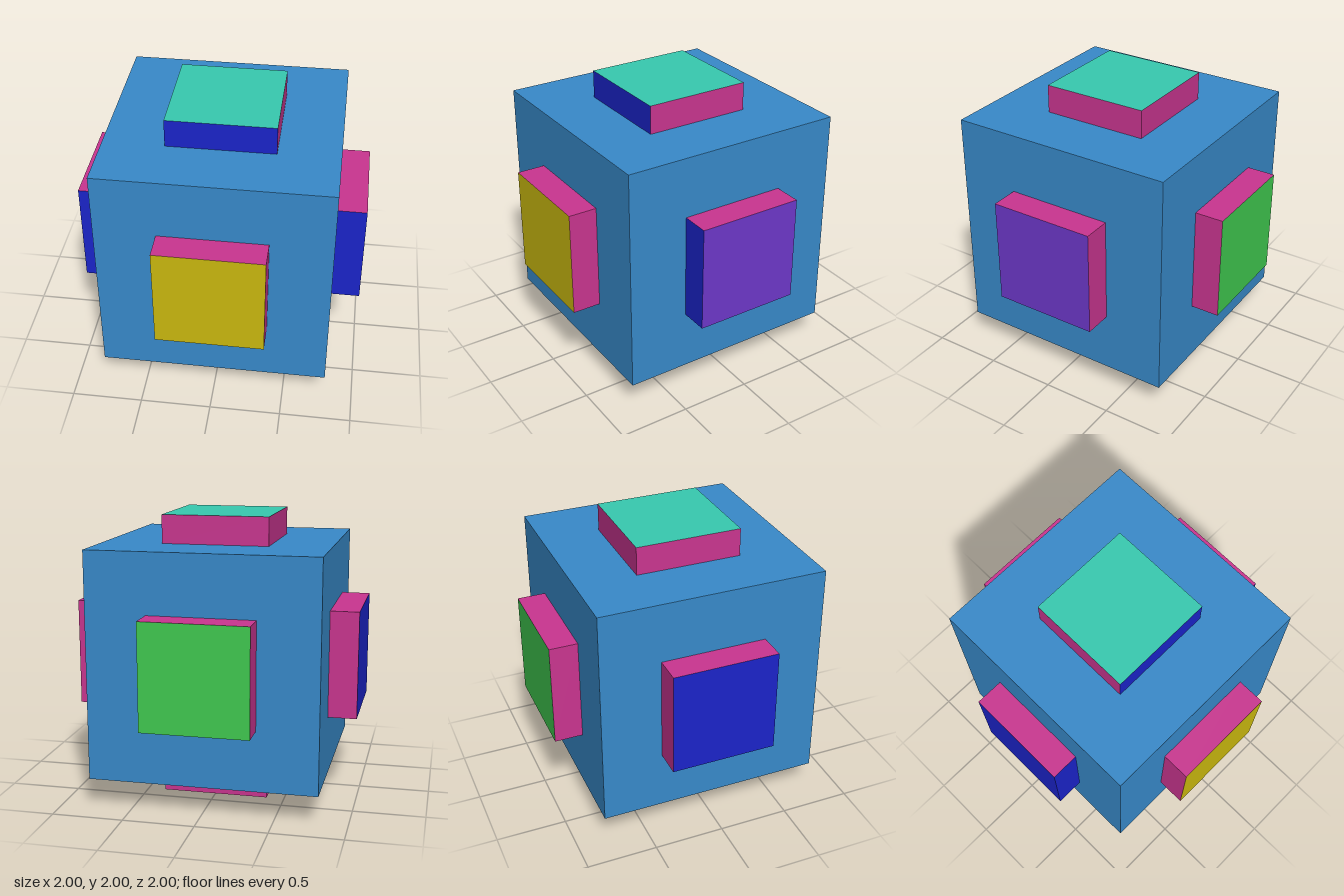
import * as THREE from 'three';

const paint = (color) => new THREE.MeshStandardMaterial({ color });

export function createModel() {
  const model = new THREE.Group();
  model.name = 'studdedCube';

  const body = paint(0x388aca);
  const pink = paint(0xca3590);
  const blue = paint(0x1b24ca);

  // Main cube
  const core = new THREE.Mesh(new THREE.BoxGeometry(1.6, 1.6, 1.6), body);
  core.name = 'cubeBody';
  core.position.y = 1;
  model.add(core);

  // One square pad per face: name, box face index (+x -x +y -y +z -z), cap material
  const pads = [
    ['leftPad', 0, paint(0x6e38ca)],
    ['rightPad', 1, blue],
    ['topPad', 2, paint(0x37cab0)],
    ['bottomPad', 3, paint(0xca5b31)],
    ['frontPad', 4, paint(0xcab90f)],
    ['backPad', 5, paint(0x40ca50)],
  ];
  for (const [name, face, cap] of pads) {
    const axis = Math.floor(face / 2);
    const size = [0.75, 0.75, 0.75];
    size[axis] = 0.2;

    // Pink rims, with blue on the edges that face forward
    const materials = [pink, pink, pink, pink, blue, pink];
    materials[face] = cap;

    const pad = new THREE.Mesh(new THREE.BoxGeometry(...size), materials);
    pad.name = name;
    pad.position.y = 1;
    const center = pad.position.getComponent(axis);
    pad.position.setComponent(axis, center + (face % 2 ? -0.9 : 0.9));
    model.add(pad);
  }
  return model;
}
